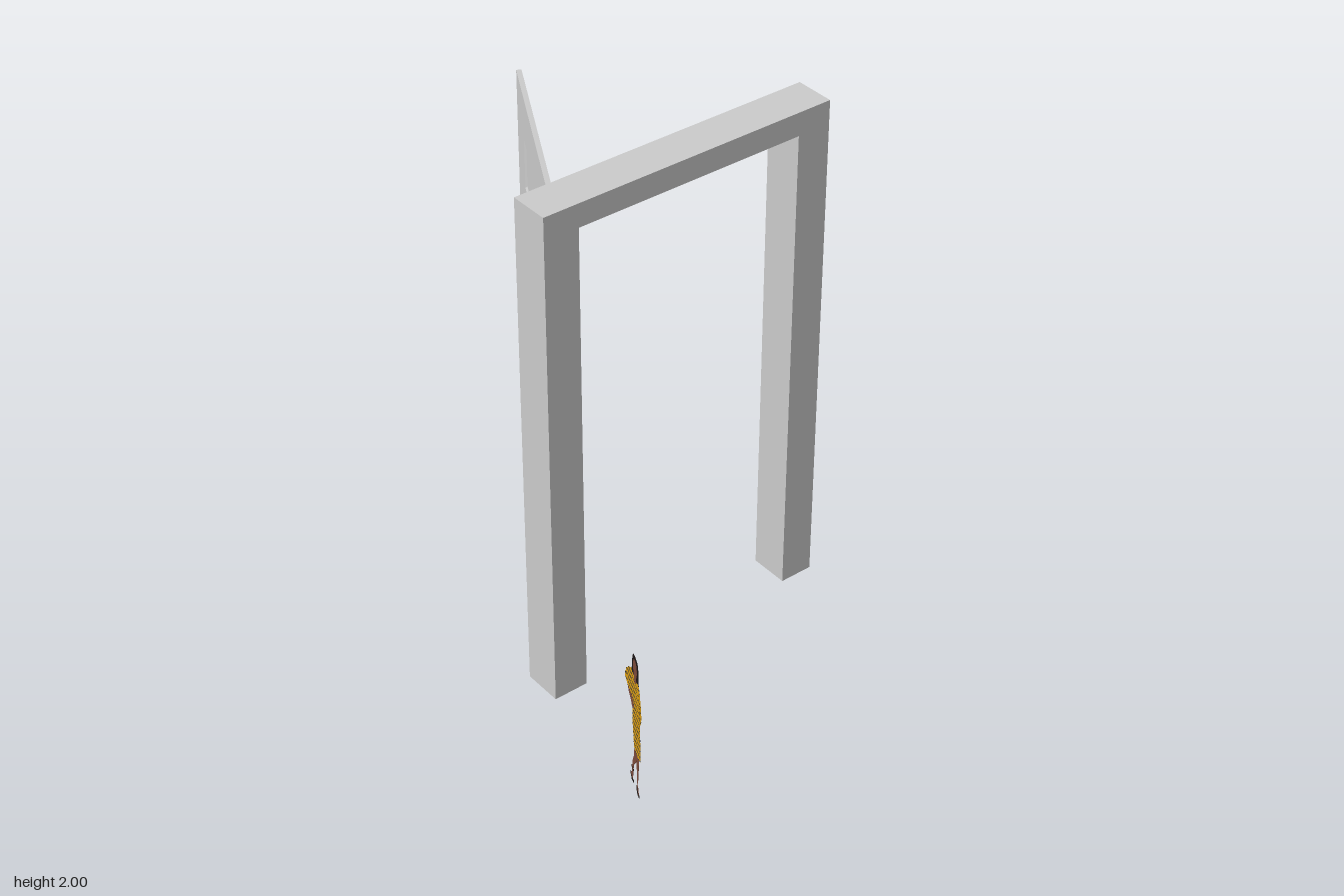
import * as THREE from 'three';
import { mergeGeometries } from 'three/addons/utils/BufferGeometryUtils.js';

const mat = (color) => new THREE.MeshStandardMaterial({ color, flatShading: true });

function part(name, geometry, material) {
  const mesh = new THREE.Mesh(geometry, material);
  mesh.name = name;
  return mesh;
}

const toShape = (pts) => new THREE.Shape(pts.map(([x, y]) => new THREE.Vector2(x, y)));
const rect = (x0, x1, y0, y1) => [[x0, y0], [x1, y0], [x1, y1], [x0, y1]];

// Extrusion centred on z = 0
function slab(shape, depth) {
  return new THREE.ExtrudeGeometry(shape, { depth, bevelEnabled: false, curveSegments: 6 })
    .translate(0, 0, -depth / 2);
}

// One side of a recessed door panel: four sloping edges and a flat field
function recess([x0, x1, y0, y1], zOuter, zInner, bevel) {
  const outer = rect(x0, x1, y0, y1).map(([x, y]) => [x, y, zOuter]);
  const inner = rect(x0 + bevel, x1 - bevel, y0 + bevel, y1 - bevel).map(([x, y]) => [x, y, zInner]);
  const pos = [];
  const quad = (a, b, c, d) => pos.push(...a, ...b, ...c, ...a, ...c, ...d);
  for (let i = 0; i < 4; i++) {
    const j = (i + 1) % 4;
    quad(outer[i], outer[j], inner[j], inner[i]);
  }
  quad(...inner);
  const g = new THREE.BufferGeometry();
  g.setAttribute('position', new THREE.Float32BufferAttribute(pos, 3));
  g.computeVertexNormals();
  return g;
}

function createFrame(grey) {
  const shape = toShape([
    [-0.551, 0], [-0.414, 0], [-0.414, 1.91], [0.498, 1.91],
    [0.498, 0], [0.631, 0], [0.631, 2], [-0.551, 2],
  ]);
  const frame = part('doorFrame', slab(shape, 0.154), grey);
  frame.position.z = 0.095;
  return frame;
}

function createDoor(grey) {
  const door = new THREE.Group();
  door.name = 'door';
  const width = 0.912, height = 1.91, thick = 0.0185;
  const shape = toShape(rect(0, width, 0, height));
  const panels = [];
  for (const [y0, y1] of [[0.111, 0.753], [0.838, 1.416], [1.544, 1.735]]) {
    for (const [x0, x1] of [[0.179, 0.41], [0.502, 0.733]]) {
      const pts = rect(x0, x1, y0, y1).reverse();
      shape.holes.push(new THREE.Path(pts.map(([x, y]) => new THREE.Vector2(x, y))));
      const front = recess([x0, x1, y0, y1], thick / 2, thick / 2 - 0.006, 0.011);
      const back = front.clone().rotateY(Math.PI).translate(x0 + x1, 0, 0);
      panels.push(front, back);
    }
  }
  door.add(part('doorLeaf', slab(shape, thick), grey));
  door.add(part('doorPanels', mergeGeometries(panels), grey));

  // Swung open about the hinge edge
  door.rotation.y = 1.066;
  door.position.set(-0.414 + 0.0081, 0, 0.029 + 0.0045);
  return door;
}

function inside(x, y, pts) {
  let hit = false;
  pts.forEach(([ax, ay], i) => {
    const [bx, by] = pts[(i + 1) % pts.length];
    if ((ay > y) !== (by > y) && x < ax + ((y - ay) / (by - ay)) * (bx - ax)) hit = !hit;
  });
  return hit;
}

// Flat standing figure, drawn in thousandths of a unit
function createFigure() {
  const figure = new THREE.Group();
  figure.name = 'scaleFigure';
  const milli = (pts) => pts.map(([x, y]) => [x / 1000, y / 1000]);
  const skin = mat(0x7a4a3a), black = mat(0x1c1614), yellow = mat(0xd89c12), navy = mat(0x2b2c38);

  const hair = milli([
    [32, 455], [33, 500], [36, 545], [38, 575], [48, 588], [72, 592], [98, 587],
    [108, 570], [112, 535], [120, 500], [122, 462], [106, 480], [92, 500], [54, 500],
  ]);
  const face = milli([
    [50, 535], [53, 562], [68, 577], [88, 572], [98, 555], [97, 525], [90, 507],
    [88, 488], [76, 474], [60, 488], [60, 507],
  ]);
  const dress = milli([
    [60, 492], [38, 504], [20, 475], [6, 430], [0, 392], [3, 355], [16, 352], [20, 310],
    [14, 260], [14, 178], [48, 172], [88, 180], [100, 235], [110, 290], [106, 345],
    [100, 372], [128, 374], [160, 386], [206, 402], [207, 412], [182, 455], [150, 487],
    [120, 506], [92, 494], [76, 476],
  ]);
  const arm = milli([[92, 372], [112, 386], [165, 390], [158, 376], [125, 358], [112, 344], [88, 354]]);
  const legs = [
    [[26, 182], [58, 182], [60, 130], [52, 80], [50, 40], [54, 10], [40, 2], [30, 6], [42, 36], [40, 90], [32, 130]],
    [[50, 182], [86, 182], [92, 140], [114, 92], [118, 45], [134, 22], [128, 6], [112, 8], [106, 40], [98, 90], [66, 130]],
  ].map(milli);
  const shoes = [
    [[26, 0], [48, 0], [56, 12], [58, 32], [48, 30], [42, 14], [28, 8]],
    [[98, 6], [122, 3], [136, 16], [138, 28], [128, 20], [116, 14], [102, 14]],
    [[100, 60], [124, 62], [124, 69], [100, 67]],
  ].map(milli);

  const flat = (pts, depth) => slab(toShape(pts), depth);
  figure.add(part('hair', flat(hair, 0.0012), black));
  figure.add(part('face', flat(face, 0.002), skin));
  figure.add(part('dress', flat(dress, 0.0016), yellow));
  figure.add(part('arm', flat(arm, 0.0026), skin));
  figure.add(part('legs', mergeGeometries(legs.map((l, i) => flat(l, 0.001 + i * 0.0004))), skin));
  figure.add(part('shoes', mergeGeometries(shoes.map((s) => flat(s, 0.002))), black));

  // Dotted dress pattern in staggered rows
  const dots = [];
  for (let row = 0; row < 28; row++) {
    for (let col = 0; col < 17; col++) {
      const x = 0.004 + col * 0.0125 + (row % 2) * 0.006;
      const y = 0.18 + row * 0.0118 + Math.sin(col * 2.3 + row) * 0.002;
      const r = 0.003 + 0.001 * Math.sin(row * 3.1 + col * 1.7);
      if (!inside(x, y, dress) || inside(x, y, face)) continue;
      dots.push(new THREE.CylinderGeometry(r, r, 0.0022, 6).rotateX(Math.PI / 2).translate(x, y, 0));
    }
  }
  figure.add(part('dressPattern', mergeGeometries(dots), navy));

  figure.rotation.y = 1.166;
  figure.position.set(-0.636, 0, 0.768);
  return figure;
}

export function createModel() {
  const model = new THREE.Group();
  model.name = 'openDoorway';
  const grey = mat(0xcccccc);
  model.add(createFrame(grey), createDoor(grey), createFigure());
  return model;
}
